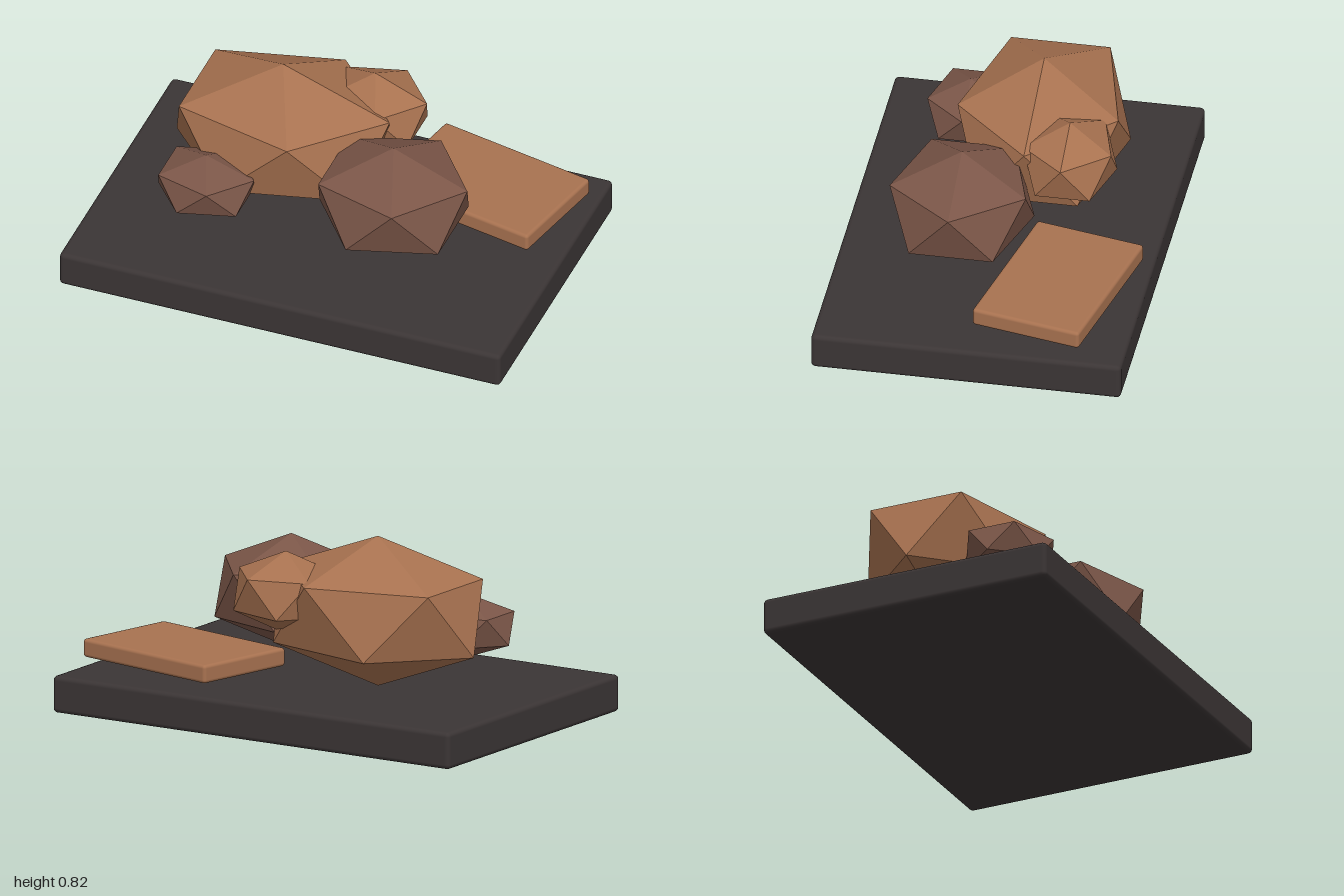
import * as THREE from 'three';
import { RoundedBoxGeometry } from 'three/addons/geometries/RoundedBoxGeometry.js';

const material = (name, color) => {
  const m = new THREE.MeshStandardMaterial({ color });
  m.name = name;
  return m;
};

// Twenty-sided stone standing on a point: two poles and two staggered rings of five.
function stoneGeometry() {
  const upper = [], lower = [];
  const top = [0, 1, 0], bottom = [0, -1, 0];
  const r = 2 / Math.sqrt(5), h = 1 / Math.sqrt(5);
  for (let i = 0; i < 5; i++) {
    const a = (i * 2 * Math.PI) / 5, b = a + Math.PI / 5;
    upper.push([r * Math.cos(a), h, -r * Math.sin(a)]);
    lower.push([r * Math.cos(b), -h, -r * Math.sin(b)]);
  }
  const points = [];
  for (let i = 0; i < 5; i++) {
    const j = (i + 1) % 5;
    points.push(...top, ...upper[i], ...upper[j]);
    points.push(...upper[i], ...lower[i], ...upper[j]);
    points.push(...lower[i], ...lower[j], ...upper[j]);
    points.push(...bottom, ...lower[j], ...lower[i]);
  }
  const g = new THREE.BufferGeometry();
  g.setAttribute('position', new THREE.Float32BufferAttribute(points, 3));
  return g;
}

export function createModel() {
  const group = new THREE.Group();
  const slate = material('dark slate', 0x3b3535);
  const clay = material('light clay', 0xa87250);
  const umber = material('dark umber', 0x7b5648);

  const add = (name, geometry, mat, x, y, z) => {
    const mesh = new THREE.Mesh(geometry, mat);
    mesh.name = name;
    mesh.position.set(x, y, z);
    group.add(mesh);
    return mesh;
  };

  // Base and the tilted flat slab
  add('base', new RoundedBoxGeometry(2, 0.16, 1.333, 2, 0.02), slate, 0, 0.08, 0);
  const slab = add('flatSlab', new RoundedBoxGeometry(0.73, 0.08, 0.487, 2, 0.015), clay, 0.56, 0.25, -0.317);
  slab.rotation.y = -0.21;

  // Stones: name, material, centre, radii
  const stones = [
    ['largeStone', clay, [-0.28, 0.495, -0.105], [0.54, 0.325, 0.406]],
    ['darkStone', umber, [0.315, 0.46, 0.14], [0.375, 0.25, 0.344]],
    ['smallDarkStone', umber, [-0.492, 0.39, 0.25], [0.243, 0.14, 0.205]],
    ['smallLightStone', clay, [0.07, 0.565, -0.28], [0.263, 0.18, 0.223]],
  ];
  for (const [name, mat, centre, radii] of stones) {
    const g = stoneGeometry().scale(...radii);
    g.computeVertexNormals();
    add(name, g, mat, ...centre);
  }
  return group;
}
